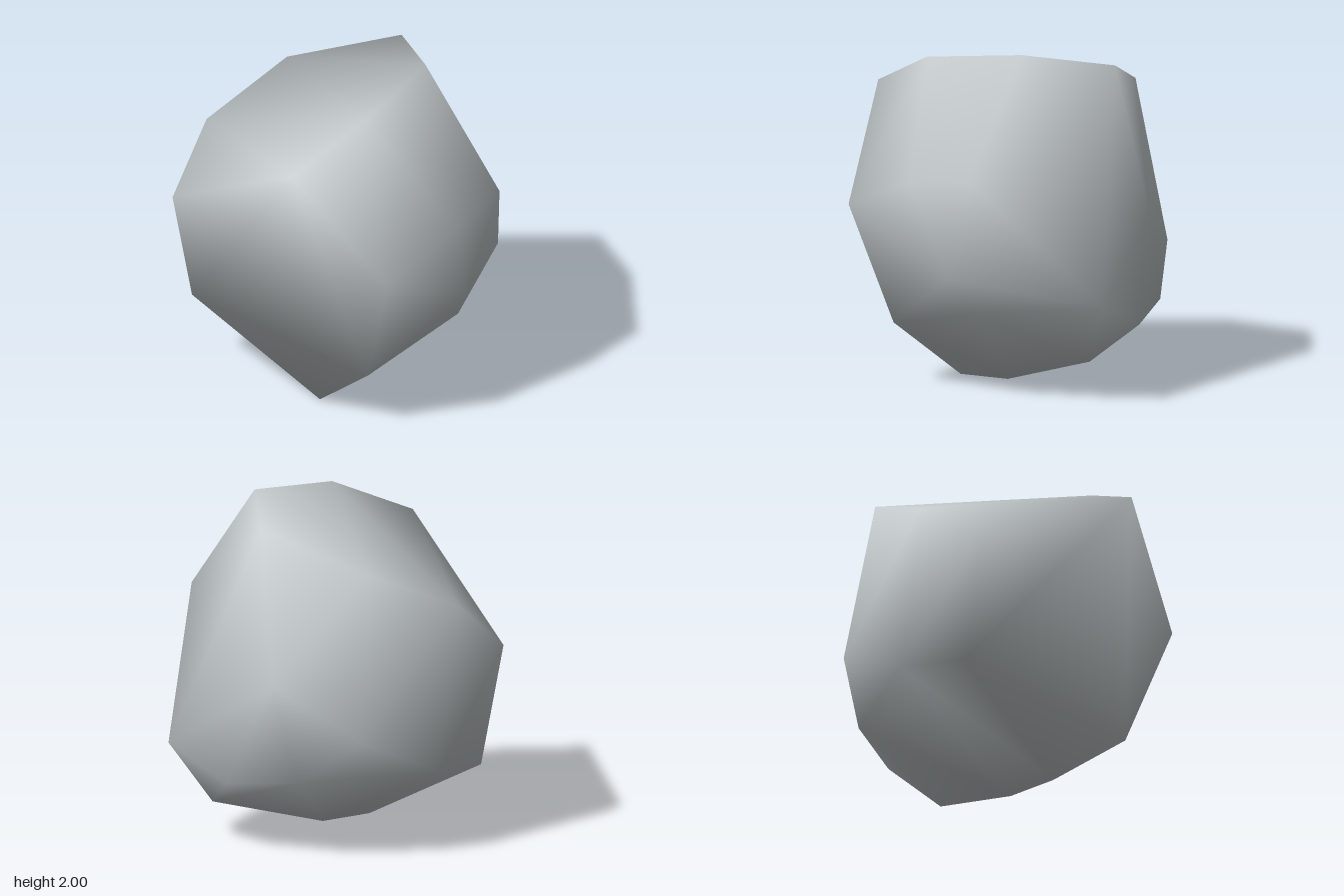
import * as THREE from 'three';
import { ConvexGeometry } from 'three/addons/geometries/ConvexGeometry.js';
import { mergeVertices } from 'three/addons/utils/BufferGeometryUtils.js';

// Smooth normals in which each facet counts by its angle at the corner
function smoothByAngle(geometry) {
  const position = geometry.getAttribute('position');
  const index = geometry.getIndex();
  const normals = Array.from({ length: position.count }, () => new THREE.Vector3());
  for (let i = 0; i < index.count; i += 3) {
    const ids = [0, 1, 2].map((k) => index.getX(i + k));
    const points = ids.map((id) => new THREE.Vector3().fromBufferAttribute(position, id));
    const facet = new THREE.Triangle(...points).getNormal(new THREE.Vector3());
    ids.forEach((id, k) => {
      const next = points[(k + 1) % 3].clone().sub(points[k]);
      const last = points[(k + 2) % 3].clone().sub(points[k]);
      normals[id].addScaledVector(facet, next.angleTo(last));
    });
  }
  const flat = normals.flatMap((n) => n.normalize().toArray());
  geometry.setAttribute('normal', new THREE.Float32BufferAttribute(flat, 3));
}

export function createModel() {
  const group = new THREE.Group();
  group.name = 'rock';
  const stone = new THREE.MeshStandardMaterial({ color: 0xc4cacc });
  stone.name = 'pale grey stone';

  // Corners of the boulder, from the crown down to the foot
  const corners = [
    [0.45, 2.0, -0.18], [0.26, 1.92, 0.44], [0.17, 1.91, -0.66],
    [-0.07, 1.7, 0.82], [-0.5, 1.7, -0.6], [-0.86, 1.46, -0.17],
    [0.945, 1.34, 0], [0.8, 1.28, 0.4], [-0.95, 1.14, 0.23],
    [0.51, 1.08, 0.84], [0.02, 1.03, -0.82], [-0.54, 0.75, -0.78],
    [0.79, 0.73, 0.17], [0.725, 0.59, -0.74], [0.705, 0.52, 0.03],
    [-0.81, 0.5, -0.32], [-0.87, 0.45, 0.1], [-0.16, 0.48, -0.84],
    [0.3, 0.42, -0.84], [0.33, 0.36, 0.62], [0.51, 0.23, -0.6],
    [0.1, 0.015, 0], [-0.04, 0, 0.32],
  ].map((p) => new THREE.Vector3(...p));

  // Wrap the corners in a hull, then weld it so the shading runs smoothly across the facets
  const hull = new ConvexGeometry(corners);
  hull.deleteAttribute('normal');
  const geometry = mergeVertices(hull, 1e-4);
  smoothByAngle(geometry);

  const boulder = new THREE.Mesh(geometry, stone);
  boulder.name = 'boulder';
  group.add(boulder);
  return group;
}
